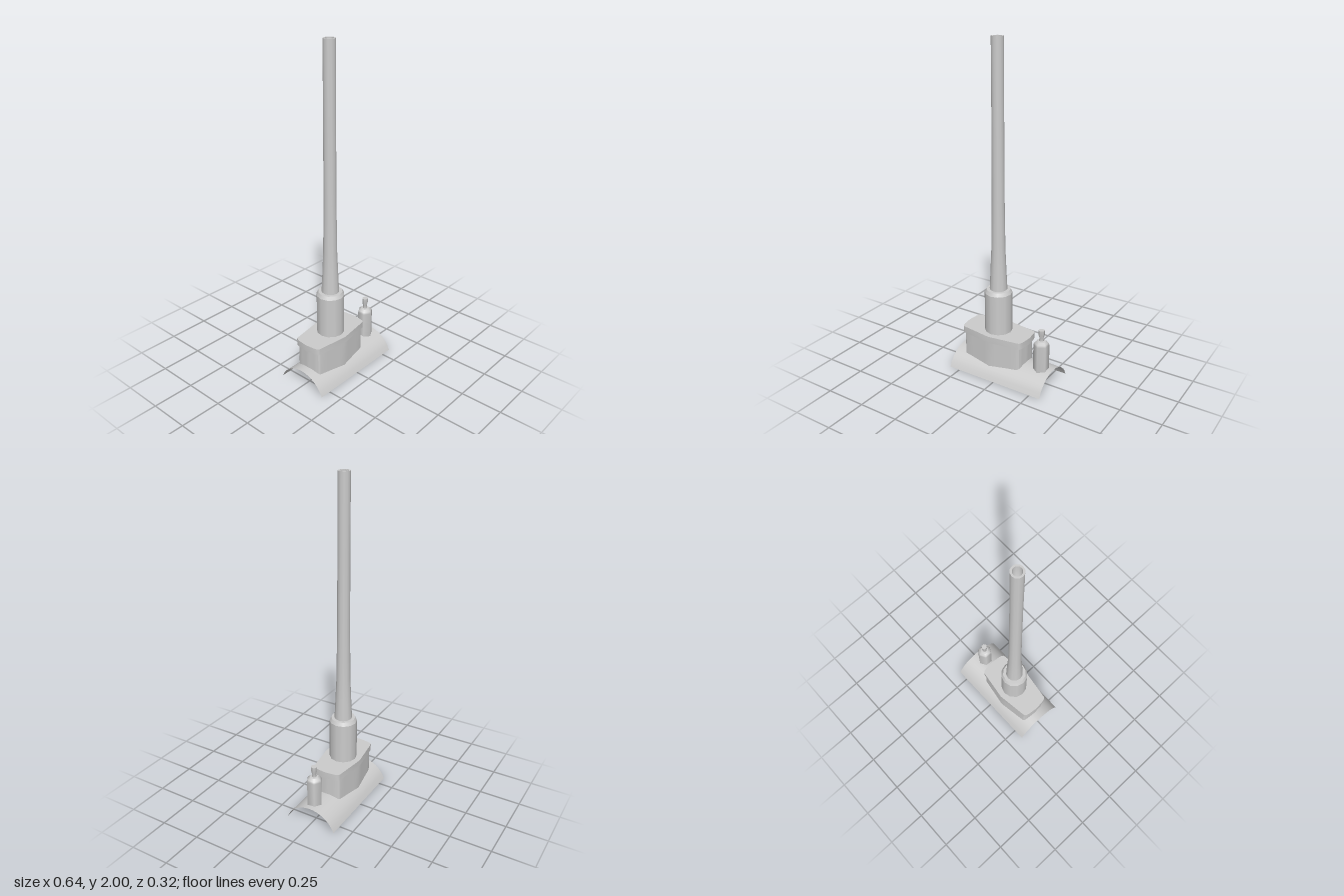
import * as THREE from 'three';
import { mergeGeometries, toCreasedNormals } from 'three/addons/utils/BufferGeometryUtils.js';

const material = new THREE.MeshStandardMaterial({ color: 0xcccccc });
const thin = new THREE.MeshStandardMaterial({ color: 0xcccccc, side: THREE.DoubleSide });

// Curved base surface: height over z
const R = 0.171;
const baseHeight = (z) => Math.sqrt(R * R - z * z) - (R - 0.11);

function add(group, name, geometry, mat = material) {
  const mesh = new THREE.Mesh(geometry, mat);
  mesh.name = name;
  group.add(mesh);
  return mesh;
}

// Each run of profile points is smooth; edges between runs stay sharp
function turned(runs, sides) {
  return mergeGeometries(runs.map((run) =>
    new THREE.LatheGeometry(run.map(([r, y]) => new THREE.Vector2(r, y)), sides)));
}

// Six-cornered outline with chamfered ends, half sizes w and d
function outline(w, d) {
  const quarter = [[1, 0], [0.97, 0.52], [0.945, 0.68], [0.915, 0.745], [0.88, 0.77]];
  const back = quarter.slice(1).reverse();
  return [
    ...quarter, [0, 1],
    ...back.map(([x, z]) => [-x, z]), [-1, 0],
    ...quarter.slice(1).map(([x, z]) => [-x, -z]), [0, -1],
    ...back.map(([x, z]) => [x, -z]),
  ].map(([x, z]) => new THREE.Vector2(x * w, z * d));
}

// Upright wall whose lower edge follows the curved base
function fittedWall(points, top, sink) {
  const loop = [];
  points.forEach((p, i) => {
    const q = points[(i + 1) % points.length];
    for (let k = 0; k < 4; k++) loop.push(p.clone().lerp(q, k / 4));
  });
  const pos = [], index = [], n = loop.length;
  loop.forEach((p, i) => {
    pos.push(p.x, baseHeight(p.y) - sink, p.y, p.x, top, p.y);
    const a = 2 * i, b = 2 * ((i + 1) % n);
    index.push(a, a + 1, b, b, a + 1, b + 1);
  });
  const g = new THREE.BufferGeometry();
  g.setAttribute('position', new THREE.Float32BufferAttribute(pos, 3));
  g.setIndex(index);
  g.computeVertexNormals();
  return toCreasedNormals(g, 0.3);
}

export function createModel() {
  const model = new THREE.Group();

  // Arched base sheet
  const sheet = new THREE.PlaneGeometry(0.637, 0.318, 1, 20);
  sheet.rotateX(-Math.PI / 2);
  const p = sheet.attributes.position;
  for (let i = 0; i < p.count; i++) p.setY(i, Math.max(0, baseHeight(p.getZ(i))));
  sheet.computeVertexNormals();
  add(model, 'archedBase', sheet, thin);

  // Housing, its lid and the tall pipe share one axis
  const tower = new THREE.Group();
  tower.name = 'tower';
  tower.position.x = -0.063;
  model.add(tower);

  add(tower, 'housing', fittedWall(outline(0.203, 0.111), 0.235, 0.022), thin);

  const lid = new THREE.ExtrudeGeometry(new THREE.Shape(outline(0.216, 0.117)),
    { depth: 0.04, bevelEnabled: false });
  lid.rotateX(-Math.PI / 2).translate(0, 0.231, 0);
  add(tower, 'housingLid', toCreasedNormals(lid, 0.5));

  add(tower, 'collar', turned([
    [[0.083, 0.265], [0.083, 0.52]],
    [[0.083, 0.52], [0.072, 0.541]],
    [[0.072, 0.541], [0, 0.541]],
  ], 12));

  add(tower, 'pipe', turned([
    [[0.053, 0.535], [0.047, 0.66], [0.041, 0.8], [0.037, 1.1], [0.035, 1.6], [0.035, 2]],
    [[0.035, 2], [0.025, 2]],
    [[0.025, 2], [0.025, 1.9], [0, 1.89]],
  ], 12));

  // Small six-sided bottle beside the housing
  const bottle = add(model, 'bottle', turned([
    [[0, 0.092], [0.047, 0.092]],
    [[0.047, 0.092], [0.047, 0.265], [0.042, 0.278], [0.027, 0.29]],
    [[0.027, 0.29], [0.014, 0.292]],
    [[0.014, 0.292], [0.012, 0.31], [0.019, 0.332], [0.019, 0.36]],
    [[0.019, 0.36], [0, 0.36]],
  ], 6));
  bottle.position.set(0.245, 0, 0.015);

  return model;
}
